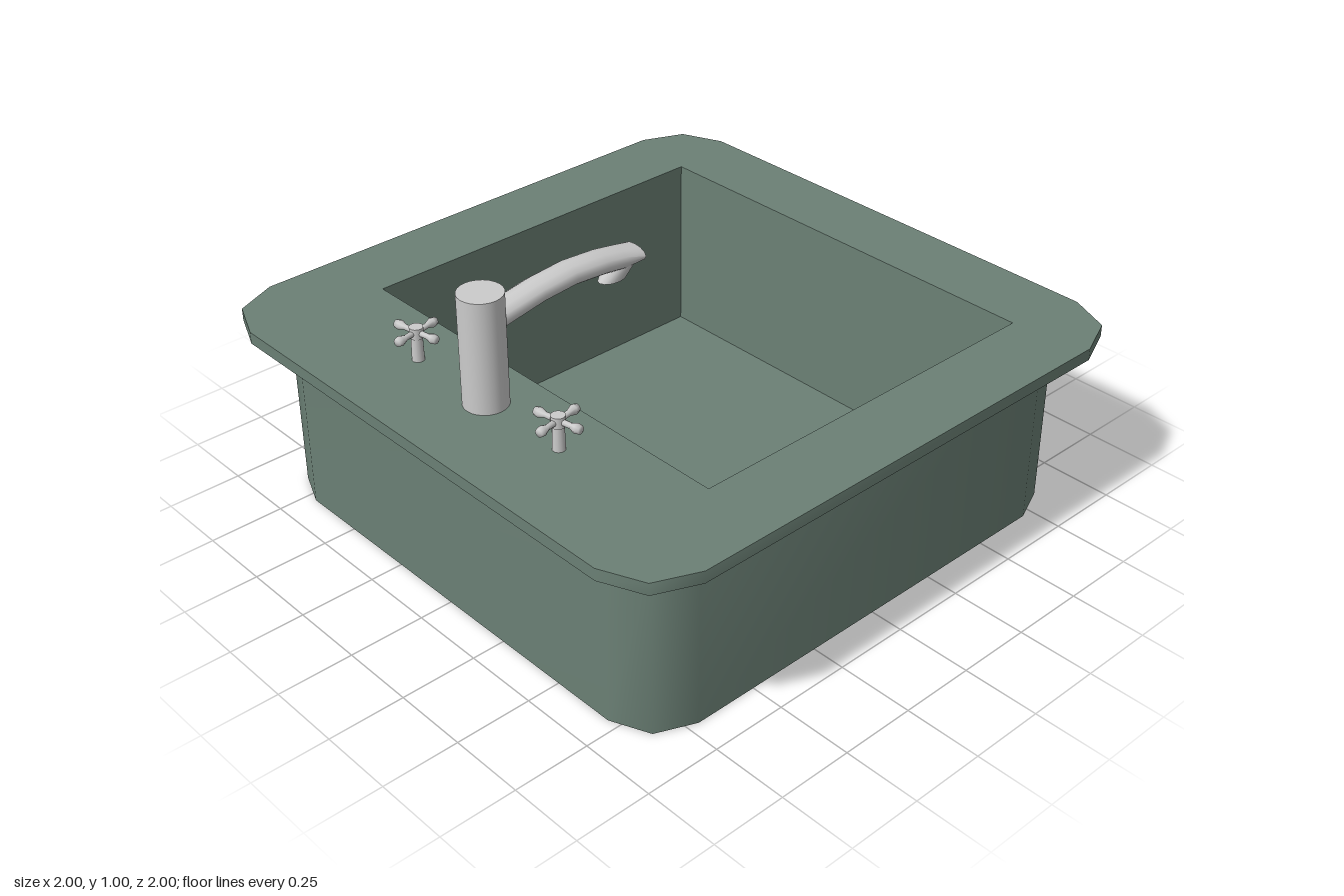
import * as THREE from 'three';
import { toCreasedNormals } from 'three/addons/utils/BufferGeometryUtils.js';

const enamel = new THREE.MeshStandardMaterial({ color: 0x6b8075 });
const metal = new THREE.MeshStandardMaterial({ color: 0xcccccc });

// Skin through rings of equal point count, capped at both ends
function loft(rings) {
  const n = rings[0].length, index = [];
  for (let i = 0; i < rings.length - 1; i++) {
    for (let j = 0; j < n; j++) {
      const a = i * n + j, b = i * n + (j + 1) % n;
      index.push(a, a + n, b, b, a + n, b + n);
    }
  }
  const last = (rings.length - 1) * n;
  for (let j = 1; j < n - 1; j++) {
    index.push(0, j, j + 1, last, last + j + 1, last + j);
  }
  const geo = new THREE.BufferGeometry();
  geo.setAttribute('position', new THREE.Float32BufferAttribute(rings.flat(2), 3));
  geo.setIndex(index);
  return toCreasedNormals(geo, 0.9);
}

function add(parent, name, geometry, material, x = 0, y = 0, z = 0) {
  const mesh = new THREE.Mesh(geometry, material);
  mesh.name = name;
  mesh.position.set(x, y, z);
  parent.add(mesh);
  return mesh;
}

// Square with two-step clipped corners, twelve points
function clippedSquare(s, y) {
  const pts = [];
  const corner = [[1, 0.8], [0.94, 0.94], [0.8, 1]];
  for (let k = 0; k < 4; k++) {
    const c = Math.round(Math.cos(k * Math.PI / 2)), d = Math.round(Math.sin(k * Math.PI / 2));
    for (const [x, z] of corner) pts.push([s * (x * c - z * d), y, s * (x * d + z * c)]);
  }
  return pts;
}

// Rectangular opening, each corner repeated to match the clipped square
function opening(y) {
  const corners = [[0.75, 0.745], [-0.545, 0.745], [-0.545, -0.745], [0.75, -0.745]];
  return corners.flatMap(([x, z]) => [[x, y, z], [x, y, z], [x, y, z]]);
}

function createHandle(z) {
  const handle = new THREE.Group();
  handle.name = 'tapHandle';
  handle.position.set(-0.717, 0.635, z);
  handle.rotation.y = 0.17;
  add(handle, 'handleStem', new THREE.CylinderGeometry(0.018, 0.02, 0.1, 12), metal, 0, 0.05, 0);
  add(handle, 'handleHub', new THREE.CylinderGeometry(0.022, 0.022, 0.035, 12), metal, 0, 0.095, 0);
  // Four arms flaring towards the tips
  const arm = new THREE.LatheGeometry([
    [0, 0], [0.01, 0], [0.009, 0.045], [0.016, 0.066], [0.013, 0.082], [0, 0.082],
  ].map(([r, h]) => new THREE.Vector2(r, h)), 8);
  arm.rotateZ(-Math.PI / 2);
  for (let k = 0; k < 4; k++) {
    add(handle, 'handleArm', arm, metal, 0, 0.095, 0).rotation.y = k * Math.PI / 2;
  }
  return handle;
}

export function createModel() {
  const model = new THREE.Group();
  model.name = 'sink';

  // Basin: outer body, overhanging rim, then down into the bowl
  add(model, 'basin', loft([
    clippedSquare(0.89, 0), clippedSquare(0.89, 0.595),
    clippedSquare(1, 0.595), clippedSquare(1, 0.635),
    opening(0.635), opening(0.02),
  ]), enamel);

  const faucet = new THREE.Group();
  faucet.name = 'faucet';
  model.add(faucet);
  add(faucet, 'faucetPost', new THREE.CylinderGeometry(0.07, 0.07, 0.365, 24), metal, -0.717, 0.8175, 0);

  // Arched spout: x, top and bottom of each section
  const sections = [
    [-0.7, 0.935, 0.86], [-0.65, 0.945, 0.872], [-0.52, 0.967, 0.896], [-0.4, 0.977, 0.905],
    [-0.28, 0.969, 0.897], [-0.21, 0.957, 0.888], [-0.138, 0.942, 0.895],
  ];
  add(faucet, 'spout', loft(sections.map(([x, top, bottom]) =>
    Array.from({ length: 12 }, (_, j) => {
      const a = j * Math.PI / 6;
      return [x, (top + bottom) / 2 + Math.sin(a) * (top - bottom) / 2, Math.cos(a) * 0.05];
    }))), metal);

  // Nozzle leaning forward under the spout tip
  const nozzle = new THREE.CylinderGeometry(0.05, 0.05, 0.06, 12);
  const p = nozzle.attributes.position;
  for (let i = 0; i < p.count; i++) {
    const upper = p.getY(i) > 0;
    p.setX(i, p.getX(i) + (upper ? 0.042 : 0));
    p.setZ(i, p.getZ(i) * (upper ? 0.95 : 0.65));
  }
  add(faucet, 'nozzle', toCreasedNormals(nozzle, 0.9), metal, -0.23, 0.89, 0);

  for (const side of [-1, 1]) model.add(createHandle(side * 0.325));
  return model;
}
